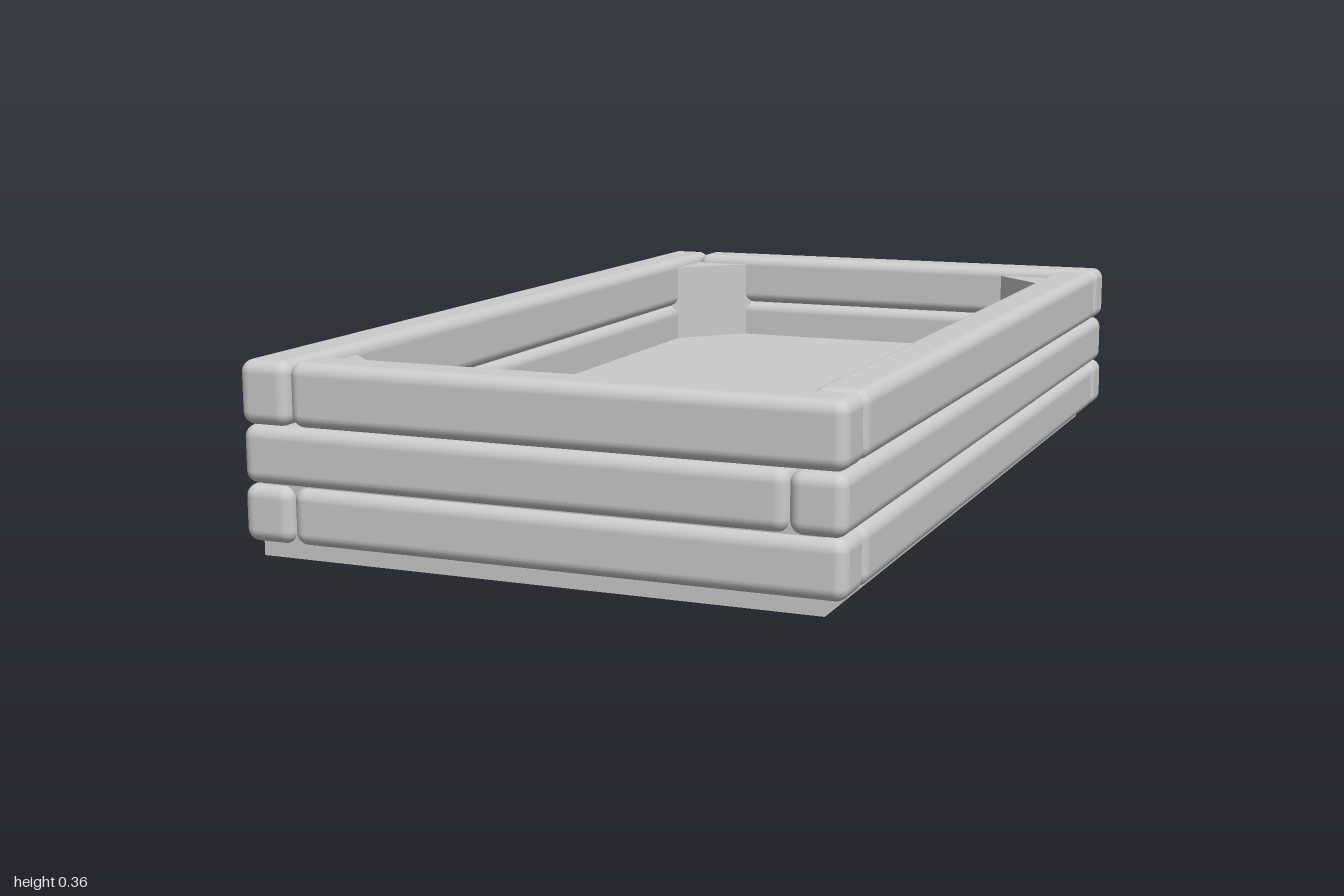
import * as THREE from 'three';
import { RoundedBoxGeometry } from 'three/addons/geometries/RoundedBoxGeometry.js';

const material = new THREE.MeshStandardMaterial({ color: 0xcccccc });

function addMesh(parent, name, geometry, x, y, z) {
  const mesh = new THREE.Mesh(geometry, material);
  mesh.name = name;
  mesh.position.set(x, y, z);
  parent.add(mesh);
  return mesh;
}

// Softly rounded timber given by its limits on each axis
function addBeam(parent, name, [x0, x1], [y0, y1], [z0, z1]) {
  const geometry = new RoundedBoxGeometry(x1 - x0, y1 - y0, z1 - z0, 4, 0.024);
  addMesh(parent, name, geometry, (x0 + x1) / 2, (y0 + y1) / 2, (z0 + z1) / 2);
}

// One course of four beams; side is the x sign of the full-length beam
function createCourse(name, y, side) {
  const course = new THREE.Group();
  course.name = name;
  const outer = 0.576, inner = 0.474;
  const spanX = (a, b) => [a * side, b * side].sort((p, q) => p - q);
  addBeam(course, 'longBeam', spanX(inner, outer), y, [-0.985, 0.995]);
  addBeam(course, 'shortBeam', spanX(-outer, -inner), y, [-0.9, 0.89]);
  addBeam(course, 'frontBeam', spanX(-outer, inner), y, [0.89, 0.992]);
  addBeam(course, 'backBeam', spanX(-outer, inner), y, [-1, -0.9]);
  return course;
}

// Triangular post filling an inside corner
function createCornerPost(sx, sz) {
  const x = sx * 0.485, z = sz > 0 ? 0.9 : -0.91, leg = 0.155;
  const shape = new THREE.Shape([
    new THREE.Vector2(x, -z),
    new THREE.Vector2(x - sx * leg, -z),
    new THREE.Vector2(x, -(z - sz * leg)),
  ]);
  const geometry = new THREE.ExtrudeGeometry(shape, { depth: 0.2, bevelEnabled: false });
  geometry.rotateX(-Math.PI / 2);
  return geometry;
}

export function createModel() {
  const model = new THREE.Group();
  model.name = 'timberPlanter';

  // Stacked courses, with the corner overlaps alternating
  model.add(createCourse('bottomCourse', [0.027, 0.134], -1));
  model.add(createCourse('middleCourse', [0.134, 0.243], 1));
  model.add(createCourse('topCourse', [0.243, 0.362], -1));

  // Solid bed: underside shows below the beams, top forms the floor
  addMesh(model, 'bed', new THREE.BoxGeometry(1.08, 0.16, 1.89), -0.005, 0.08, 0.03);

  // Corner posts
  for (const sx of [-1, 1]) {
    for (const sz of [-1, 1]) {
      addMesh(model, 'cornerPost', createCornerPost(sx, sz), 0, 0.142, 0);
    }
  }
  return model;
}
